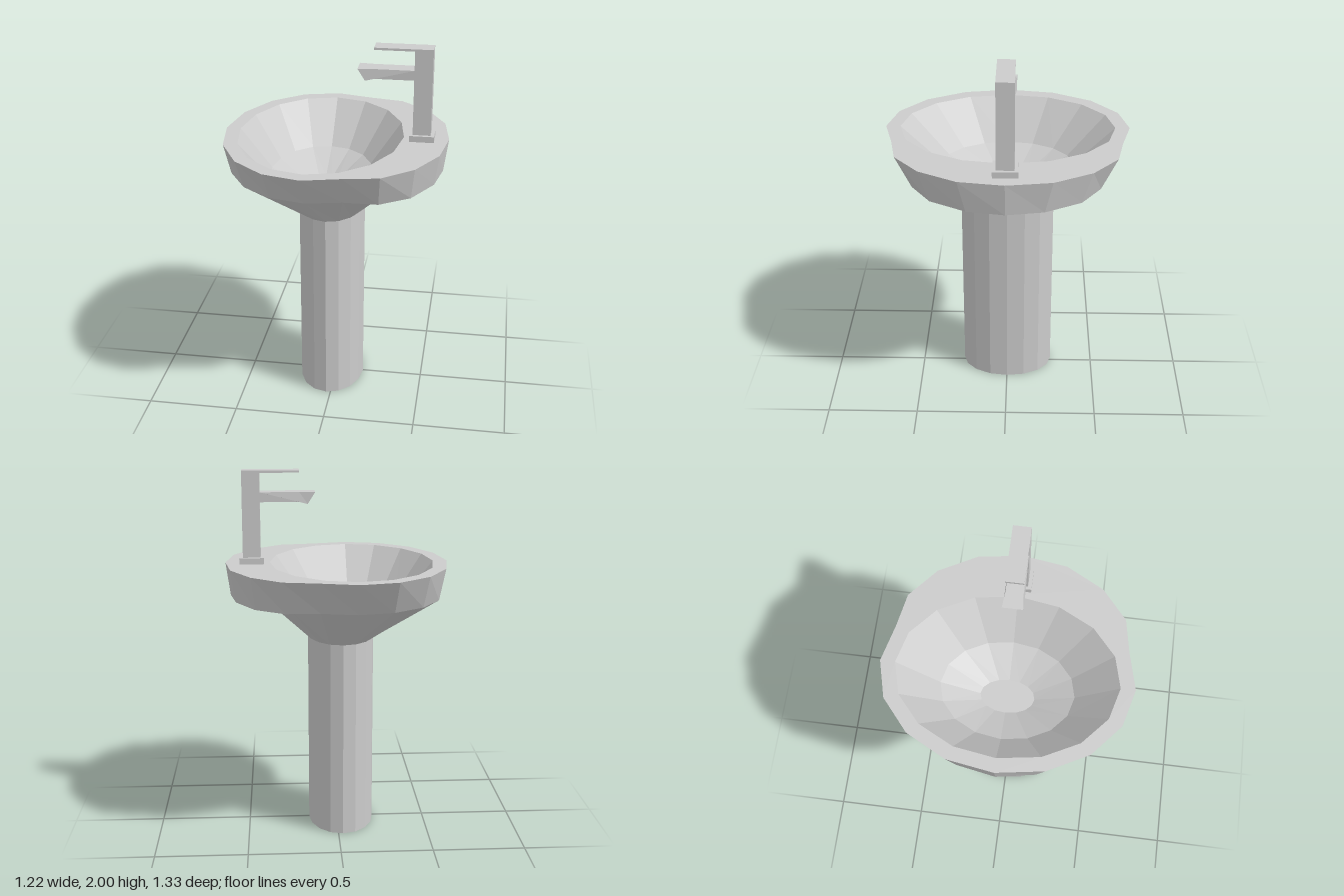
import * as THREE from 'three';

const SIDES = 16;
const material = new THREE.MeshStandardMaterial({ color: 0xcccccc, flatShading: true });

// Elliptical ring of [x, z] points, starting at +x
function ellipse(cx, rx, rz) {
  return Array.from({ length: SIDES }, (_, i) => {
    const a = (i / SIDES) * Math.PI * 2;
    return [cx + rx * Math.cos(a), rz * Math.sin(a)];
  });
}

// Ellipse whose tap side is replaced by a wider ledge, given as half an outline
function ledgeRing(cx, rx, rz, half) {
  const mirrored = half.slice(1).reverse().map(([x, z]) => [x, -z]);
  return [...half, ...ellipse(cx, rx, rz).slice(3, 14), ...mirrored];
}

// Faceted wall through rings [y, points]; rising walls face out, falling walls face in
function loft(rings) {
  const pos = [];
  for (let r = 0; r < rings.length - 1; r++) {
    const [ya, a] = rings[r];
    const [yb, b] = rings[r + 1];
    for (let i = 0; i < a.length; i++) {
      const j = (i + 1) % a.length;
      const p = [a[i][0], ya, a[i][1]], q = [b[i][0], yb, b[i][1]];
      const s = [b[j][0], yb, b[j][1]], t = [a[j][0], ya, a[j][1]];
      pos.push(...p, ...q, ...s, ...p, ...s, ...t);
    }
  }
  const g = new THREE.BufferGeometry();
  g.setAttribute('position', new THREE.Float32BufferAttribute(pos, 3));
  g.computeVertexNormals();
  return g;
}

// Flat horizontal face, facing up or down, with an optional hole
function flat(points, y, up, hole) {
  const k = up ? -1 : 1;
  const toVec = ([x, z]) => new THREE.Vector2(x, k * z);
  const shape = new THREE.Shape(points.map(toVec));
  if (hole) shape.holes.push(new THREE.Path(hole.map(toVec)));
  return new THREE.ShapeGeometry(shape).rotateX(k * Math.PI / 2).translate(0, y, 0);
}

function add(group, name, geometry) {
  const mesh = new THREE.Mesh(geometry, material);
  mesh.name = name;
  group.add(mesh);
}

function box(x0, x1, y0, y1, depth) {
  return new THREE.BoxGeometry(x1 - x0, y1 - y0, depth).translate((x0 + x1) / 2, (y0 + y1) / 2, 0);
}

export function createModel() {
  const model = new THREE.Group();
  model.name = 'pedestalSink';

  // Pedestal
  const foot = ellipse(-0.025, 0.182, 0.257);
  add(model, 'pedestal', loft([[0, foot], [1.09, foot]]));
  add(model, 'pedestalBase', flat(foot, 0, false));

  // Basin outside: funnel, skirt and the ledge under the tap
  const basin = new THREE.Group();
  basin.name = 'basin';
  model.add(basin);
  const belly = ellipse(-0.085, 0.495, 0.537);
  const skirt = ledgeRing(-0.085, 0.495, 0.537, [[0.58, 0], [0.545, 0.2], [0.44, 0.39], [0.285, 0.495]]);
  const rim = ledgeRing(-0.085, 0.525, 0.663, [[0.605, 0], [0.57, 0.24], [0.46, 0.443], [0.3, 0.578]]);
  add(basin, 'funnel', loft([[1.09, foot], [1.32, belly]]));
  add(basin, 'skirt', loft([[1.32, skirt], [1.5, rim]]));
  const ledge = [...skirt.slice(-4), ...skirt.slice(0, 5)];
  const inner = [...belly.slice(-2), ...belly.slice(0, 3)].reverse();
  add(basin, 'ledgeUnderside', flat([...ledge, ...inner], 1.32, false));

  // Basin inside: rim top, bowl and floor
  const mouth = ellipse(-0.085, 0.448, 0.585);
  const drain = ellipse(-0.085, 0.095, 0.147);
  add(basin, 'rimTop', flat(rim, 1.5, true, mouth));
  add(basin, 'bowl', loft([[1.5, mouth], [1.28, ellipse(-0.085, 0.277, 0.36)], [1.18, drain]]));
  add(basin, 'bowlFloor', flat(drain, 1.18, true));

  // Tap
  const tap = new THREE.Group();
  tap.name = 'tap';
  model.add(tap);
  add(tap, 'tapBase', box(0.395, 0.527, 1.5, 1.533, 0.132));
  add(tap, 'tapColumn', box(0.412, 0.508, 1.533, 2, 0.094));
  add(tap, 'lever', box(0.2, 0.412, 1.988, 2, 0.094));

  // Spout, flared at its lip
  const profile = [[0.413, 1.832], [0.413, 1.885], [0.2, 1.885], [0.115, 1.885], [0.155, 1.822], [0.2, 1.832]];
  const spout = new THREE.ExtrudeGeometry(
    new THREE.Shape(profile.map(([x, y]) => new THREE.Vector2(x, y))),
    { depth: 0.09, bevelEnabled: false }
  ).translate(0, 0, -0.045);
  const p = spout.attributes.position;
  for (let i = 0; i < p.count; i++) if (p.getX(i) < 0.17) p.setZ(i, p.getZ(i) * 1.18);
  spout.computeVertexNormals();
  add(tap, 'spout', spout);

  return model;
}
